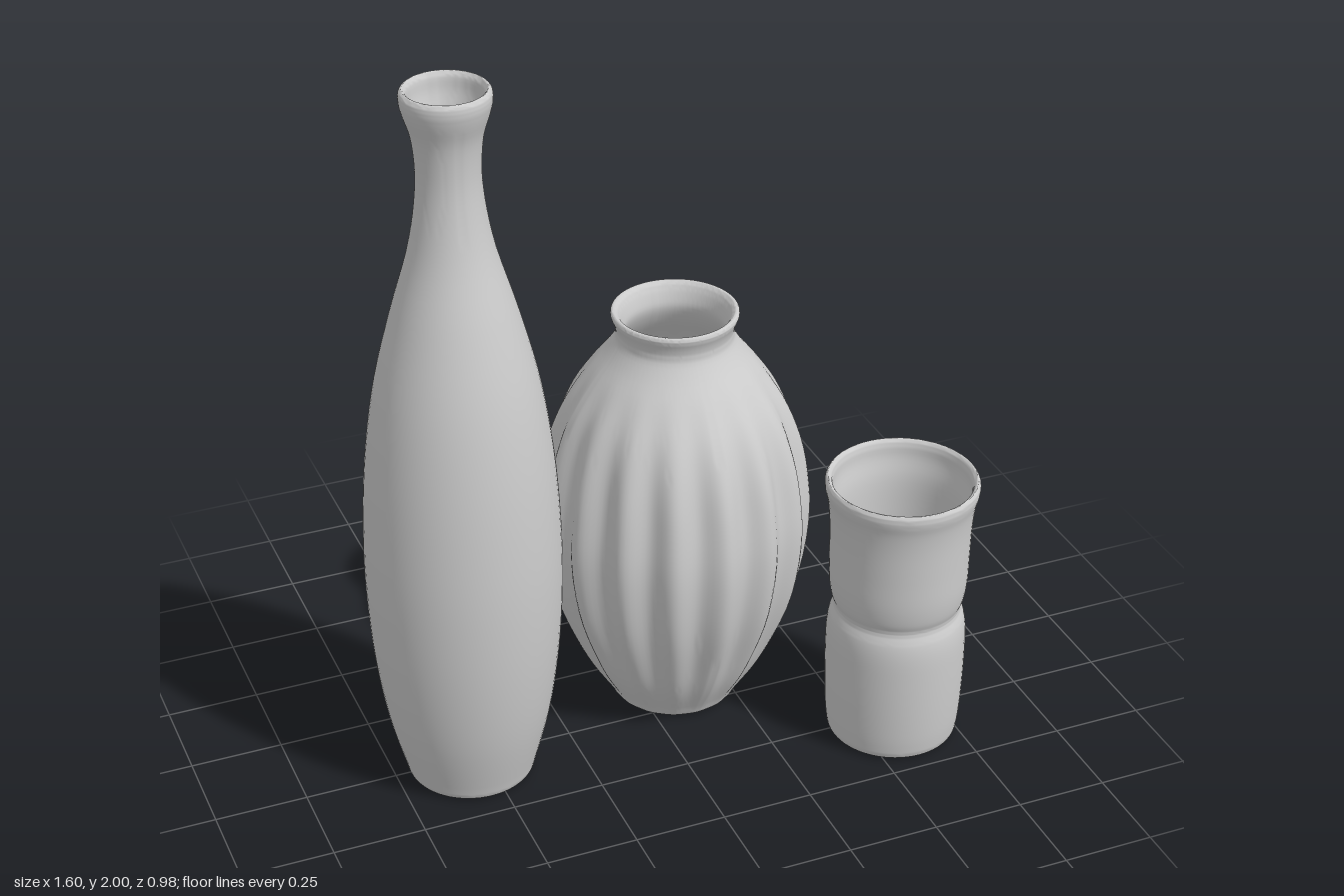
import * as THREE from 'three';
import { toCreasedNormals } from 'three/addons/utils/BufferGeometryUtils.js';

const ceramic = new THREE.MeshStandardMaterial({ color: 0xcccccc });
ceramic.name = 'grey ceramic';

// Hollow vessel: the profile runs up the outside, over the lip and down to the inner floor
function vessel(name, profile, x, z, samples, segments, deform) {
  const curve = new THREE.CatmullRomCurve3(profile.map(([r, y]) => new THREE.Vector3(r, y, 0)));
  const points = curve.getPoints(samples).map(p => new THREE.Vector2(Math.max(p.x, 0), Math.max(p.y, 0)));
  points.unshift(new THREE.Vector2(0, 0));
  points.push(new THREE.Vector2(0, profile[profile.length - 1][1]));
  let geometry = new THREE.LatheGeometry(points, segments);
  if (deform) deform(geometry.attributes.position);
  geometry.deleteAttribute('uv');
  geometry = toCreasedNormals(geometry, 0.75);
  const mesh = new THREE.Mesh(geometry, ceramic);
  mesh.name = name;
  mesh.position.set(x, 0, z);
  return mesh;
}

// Sixteen vertical ribs that fade out towards the foot and the neck
function addRibs(pos) {
  for (let i = 0; i < pos.count; i++) {
    const x = pos.getX(i), y = pos.getY(i), z = pos.getZ(i);
    const r = Math.hypot(x, z);
    if (r < 0.01) continue;
    const fade = THREE.MathUtils.smoothstep(y, -0.05, 0.4) * (1 - THREE.MathUtils.smoothstep(y, 0.72, 1.08));
    const k = 1 + 0.014 * fade * Math.cos(16 * Math.atan2(z, x)) / r;
    pos.setX(i, x * k);
    pos.setZ(i, z * k);
  }
}

export function createModel() {
  const group = new THREE.Group();
  group.name = 'vaseSet';

  // Tall bottle with a narrow neck
  group.add(vessel('tallBottle', [
    [0.155, 0], [0.168, 0.008], [0.178, 0.04], [0.218, 0.2], [0.246, 0.4], [0.258, 0.62],
    [0.255, 0.8], [0.24, 1.0], [0.21, 1.2], [0.16, 1.4], [0.108, 1.58], [0.085, 1.72],
    [0.082, 1.8], [0.09, 1.88], [0.108, 1.94], [0.114, 1.97], [0.112, 1.992], [0.104, 2.0],
    [0.096, 1.99], [0.09, 1.95], [0.074, 1.89], [0.065, 1.8], [0.068, 1.72], [0.09, 1.58],
    [0.14, 1.4], [0.19, 1.2], [0.22, 1.0], [0.238, 0.62], [0.2, 0.2], [0.15, 0.04], [0.13, 0.03],
  ], -0.542, 0.022, 130, 64));

  // Ribbed round vase
  group.add(vessel('ribbedVase', [
    [0.155, 0], [0.17, 0.008], [0.182, 0.03], [0.235, 0.12], [0.275, 0.21], [0.332, 0.38],
    [0.356, 0.56], [0.347, 0.7], [0.322, 0.83], [0.285, 0.93], [0.23, 1.02], [0.178, 1.09],
    [0.157, 1.13], [0.16, 1.16], [0.17, 1.188], [0.168, 1.198], [0.16, 1.2], [0.15, 1.19],
    [0.138, 1.16], [0.134, 1.13], [0.155, 1.08], [0.205, 1.01], [0.26, 0.92], [0.3, 0.82],
    [0.332, 0.56], [0.308, 0.38], [0.25, 0.2], [0.16, 0.05], [0.118, 0.03],
  ], 0.11, -0.117, 100, 192, addRibs));

  // Short cup with a pinched waist
  group.add(vessel('waistedCup', [
    [0.16, 0], [0.174, 0.008], [0.181, 0.04], [0.187, 0.12], [0.19, 0.25], [0.188, 0.34],
    [0.181, 0.38], [0.172, 0.402], [0.171, 0.415], [0.179, 0.44], [0.186, 0.49], [0.188, 0.58],
    [0.191, 0.68], [0.197, 0.735], [0.205, 0.77], [0.205, 0.79], [0.198, 0.8], [0.188, 0.79],
    [0.183, 0.75], [0.17, 0.69], [0.165, 0.58], [0.163, 0.48], [0.152, 0.44], [0.147, 0.408],
    [0.155, 0.37], [0.164, 0.32], [0.164, 0.15], [0.152, 0.05], [0.136, 0.03],
  ], 0.594, 0.288, 120, 64));

  return group;
}
